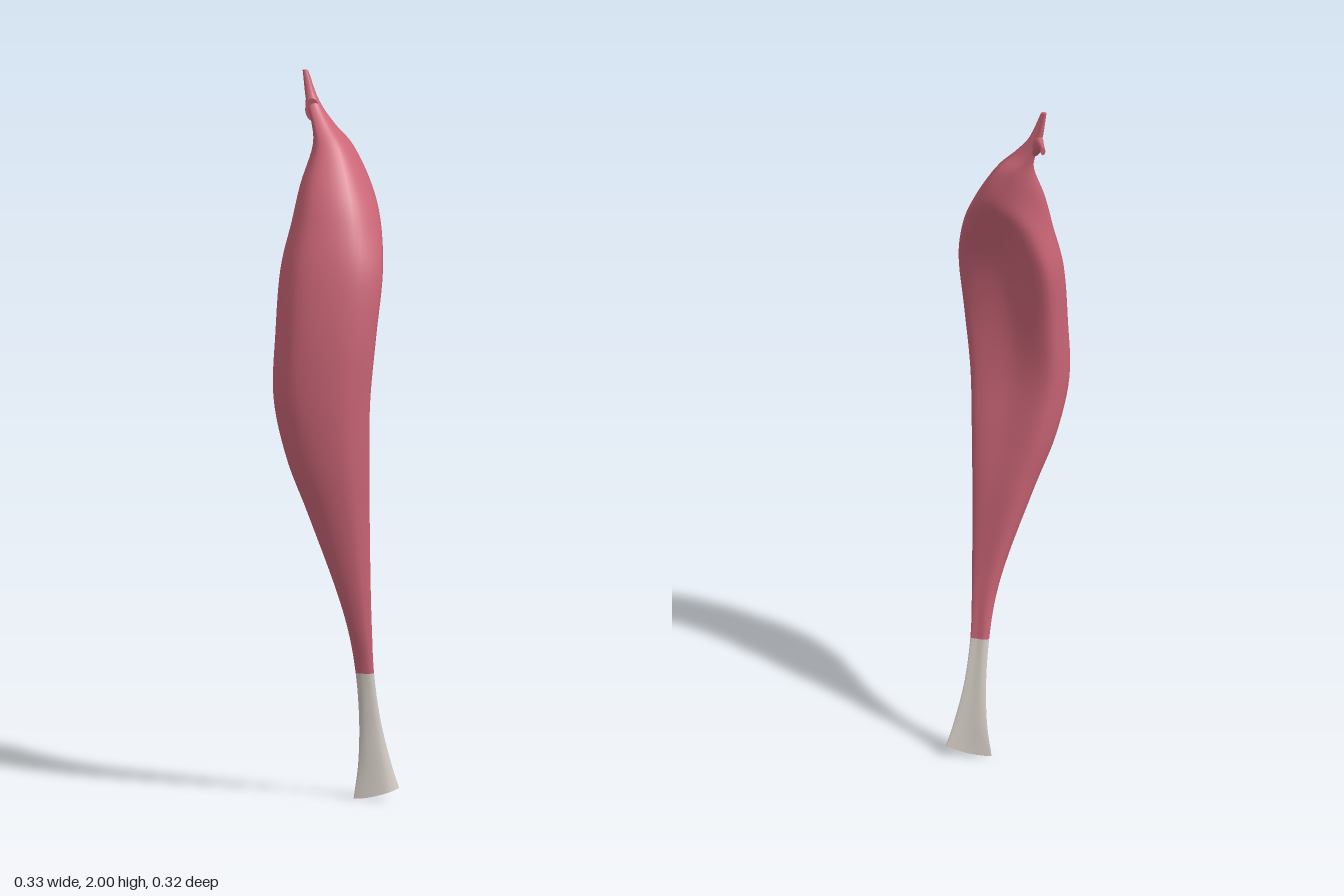
import * as THREE from 'three';

// Cross-sections from the bottom up:
// y, left x, right x, back z, right edge z, front z, back corner inset, hollow of the back
const STATIONS = [
  [0.00, 0.04, 0.164, -0.037, -0.049, -0.027, 0.15, 0],
  [0.10, 0.052, 0.143, -0.043, -0.043, -0.028, 0.15, 0],
  [0.22, 0.055, 0.115, -0.040, -0.035, -0.026, 0.2, 0],
  [0.35, 0.048, 0.10, -0.030, -0.022, -0.010, 0.25, 0],
  [0.47, 0.032, 0.098, -0.020, -0.005, 0.026, 0.25, -0.003],
  [0.60, -0.003, 0.10, -0.012, 0.020, 0.060, 0.2, -0.006],
  [0.80, -0.073, 0.103, -0.005, 0.045, 0.105, 0.2, -0.008],
  [0.95, -0.128, 0.107, 0.000, 0.065, 0.134, 0.18, -0.005],
  [1.12, -0.163, 0.113, 0.006, 0.082, 0.152, 0.16, 0],
  [1.30, -0.160, 0.130, -0.012, 0.083, 0.153, 0.14, 0.005],
  [1.47, -0.152, 0.142, -0.042, 0.055, 0.134, 0.14, 0.006],
  [1.60, -0.125, 0.122, -0.062, -0.010, 0.100, 0.2, -0.005],
  [1.70, -0.106, 0.085, -0.085, -0.058, 0.060, 0.38, -0.018],
  [1.80, -0.080, 0.027, -0.108, -0.088, 0.000, 0.42, -0.006],
  [1.86, -0.088, -0.028, -0.108, -0.092, -0.044, 0.35, 0],
  [1.92, -0.109, -0.073, -0.114, -0.102, -0.083, 0.25, 0],
  [2.00, -0.121, -0.106, -0.117, -0.112, -0.104, 0.25, 0],
];
const TENDON_END = 3;
const SIDES = 40;

// Six outline points of one cross-section: right, two front, left, back corner, mid back
function outline([y, xl, xr, zb, zr, zf, inset, hollow], i) {
  const w = xr - xl;
  const bx = xl + inset * w;
  const points = [
    [xr, zr],
    [xl + 0.8 * w, zf - 0.14 * (zf - zr)],
    [xl + 0.24 * w, zf - 0.06 * (zf - zb)],
    [xl, zb + 0.36 * (zf - zb)],
    [bx, zb],
    [(bx + xr) / 2 - hollow * 0.4, (zb + zr) / 2 + hollow],
  ];
  // the lowest edge curves up toward its outer corner
  return points.map(([x, z]) => new THREE.Vector3(x, i === 0 ? 2 * (x - 0.04) ** 2 : y, z));
}

// Skin a list of rings, closing the requested ends
function skin(rings, capBottom, capTop) {
  const n = rings[0].length;
  const collapse = (ring) => {
    const c = ring.reduce((s, p) => s.add(p), new THREE.Vector3()).divideScalar(n);
    return ring.map(() => c);
  };
  const first = rings[0], last = rings[rings.length - 1];
  const all = [...rings];
  if (capBottom) all.unshift(collapse(first), first);
  if (capTop) all.push(last, collapse(last));
  const index = [];
  for (let r = 0; r < all.length - 1; r++) {
    for (let j = 0; j < n; j++) {
      const a = r * n + j, b = r * n + (j + 1) % n;
      index.push(a, a + n, b, b, a + n, b + n);
    }
  }
  const geometry = new THREE.BufferGeometry().setFromPoints(all.flat());
  geometry.setIndex(index);
  geometry.computeVertexNormals();
  return geometry;
}

export function createModel() {
  const group = new THREE.Group();
  const flesh = new THREE.MeshStandardMaterial({ color: 0xcc6677, side: THREE.DoubleSide });
  const sinew = new THREE.MeshStandardMaterial({ color: 0xd8d0c8, side: THREE.DoubleSide });

  const add = (name, geometry, material) => {
    const mesh = new THREE.Mesh(geometry, material);
    mesh.name = name;
    group.add(mesh);
  };

  // Long rails through matching outline points give smooth in-between sections
  const outlines = STATIONS.map(outline);
  const rails = outlines[0].map((_, k) =>
    new THREE.CatmullRomCurve3(outlines.map((o) => o[k]), false, 'catmullrom', 0.5));
  const ringAt = (s) => {
    const points = rails.map((rail) => rail.getPoint(s / (STATIONS.length - 1)));
    return new THREE.CatmullRomCurve3(points, true, 'centripetal').getPoints(SIDES).slice(0, SIDES);
  };
  const loft = (from, to, capBottom, capTop) => {
    const steps = (to - from) * 6;
    const rings = Array.from({ length: steps + 1 }, (_, i) => ringAt(from + i / 6));
    return skin(rings, capBottom, capTop);
  };

  add('lowerTendon', loft(0, TENDON_END, true, false), sinew);
  add('muscleBelly', loft(TENDON_END, STATIONS.length - 1, false, true), flesh);

  // Short side spur of the forked upper end, broad at its root
  const path = new THREE.CatmullRomCurve3([
    new THREE.Vector3(-0.088, 1.895, -0.085),
    new THREE.Vector3(-0.102, 1.907, -0.115),
    new THREE.Vector3(-0.111, 1.907, -0.136),
    new THREE.Vector3(-0.117, 1.905, -0.156),
  ]);
  const spurRings = [];
  for (let i = 0; i <= 10; i++) {
    const t = i / 10;
    const center = path.getPoint(t);
    const up = path.getTangent(t);
    const side = new THREE.Vector3(1, 0, 0).addScaledVector(up, -up.x).normalize();
    const across = new THREE.Vector3().crossVectors(side, up);
    const radius = 0.036 - 0.052 * t + 0.028 * t * t;
    spurRings.push(Array.from({ length: 16 }, (_, j) => {
      const a = (j / 16) * Math.PI * 2;
      return center.clone()
        .addScaledVector(side, Math.cos(a) * radius * 0.55)
        .addScaledVector(across, Math.sin(a) * radius);
    }));
  }
  add('upperSpur', skin(spurRings, true, true), flesh);

  return group;
}
